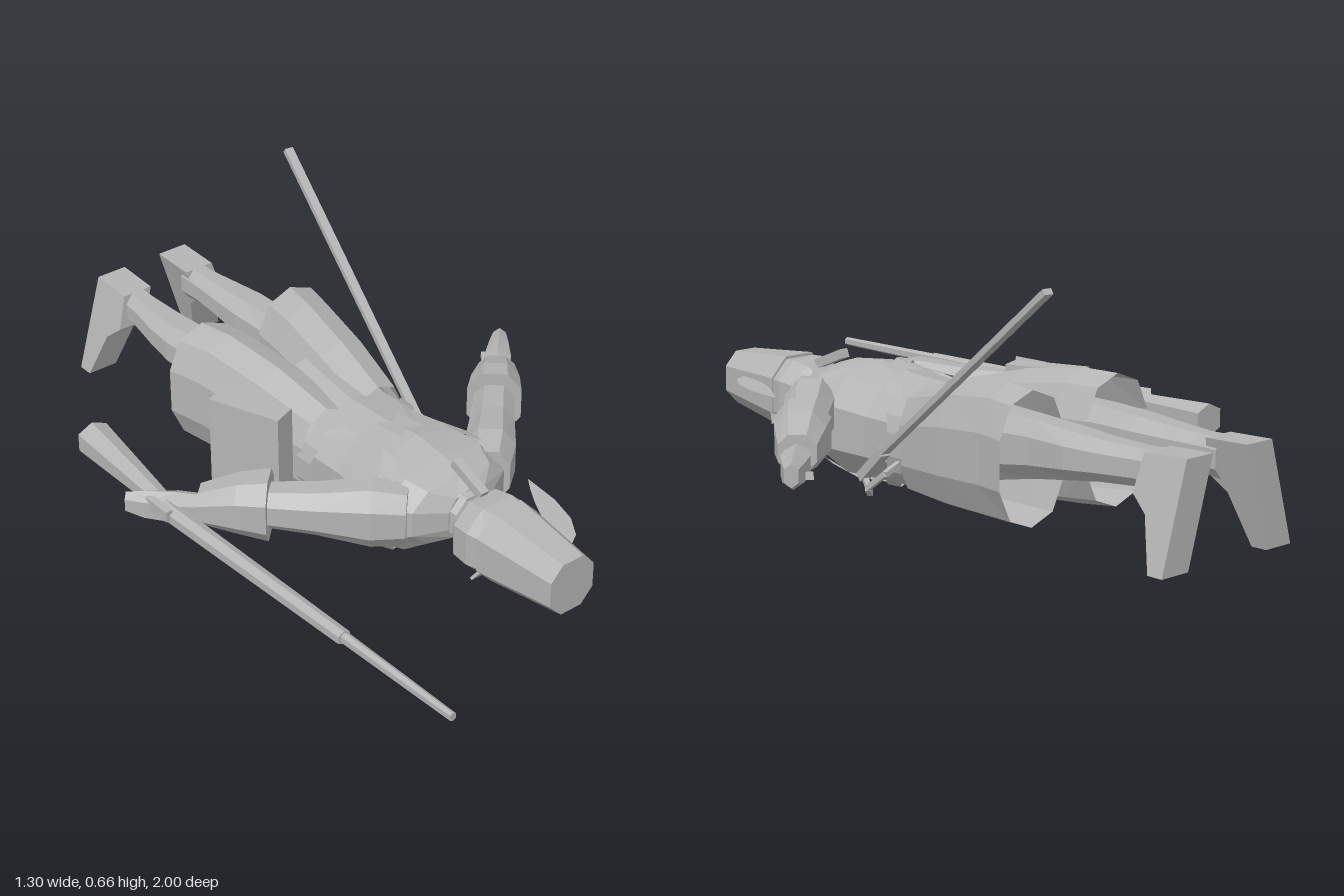
import * as THREE from 'three';

const grey = new THREE.MeshStandardMaterial({ color: 0xb4b4b4, flatShading: true, side: THREE.DoubleSide });
grey.name = 'plain grey';

const v = (a) => new THREE.Vector3(...a);

function mesh(name, geometry, parent) {
  const m = new THREE.Mesh(geometry, grey);
  m.name = name;
  parent.add(m);
  return m;
}

// Point on a rounded-box cross-section [x, y, z, rx, ry]
function ringPoint([x, y, z, rx, ry], a) {
  const soft = (t) => Math.sign(t) * Math.pow(Math.abs(t), 0.85);
  return [x + rx * soft(Math.cos(a)), y + ry * soft(Math.sin(a)), z];
}

// Skin cross-sections listed in order of rising z
function loft(sections, n = 8, caps = true) {
  const pos = [], idx = [];
  for (const s of sections)
    for (let i = 0; i < n; i++) pos.push(...ringPoint(s, ((i + 0.5) / n) * Math.PI * 2));
  for (let j = 0; j < sections.length - 1; j++)
    for (let i = 0; i < n; i++) {
      const a = j * n + i, b = j * n + ((i + 1) % n);
      idx.push(a, b, b + n, a, b + n, a + n);
    }
  if (caps) {
    const end = (sections.length - 1) * n;
    for (let i = 1; i < n - 1; i++) idx.push(0, i + 1, i, end, end + i, end + i + 1);
  }
  const g = new THREE.BufferGeometry();
  g.setAttribute('position', new THREE.Float32BufferAttribute(pos, 3));
  g.setIndex(idx);
  g.computeVertexNormals();
  return g;
}

// Box bar running between two points
function bar(name, a, b, w, h, parent) {
  const A = v(a), B = v(b);
  const m = mesh(name, new THREE.BoxGeometry(w, h, A.distanceTo(B)), parent);
  m.position.copy(A).lerp(B, 0.5);
  m.lookAt(B);
  return m;
}

const TORSO = [
  [0, 0.17, -0.24, 0.2, 0.155],
  [0, 0.155, -0.05, 0.172, 0.14],
  [0, 0.155, 0.1, 0.172, 0.147],
  [0, 0.163, 0.22, 0.19, 0.156],
  [0, 0.18, 0.32, 0.195, 0.13],
  [0, 0.195, 0.385, 0.16, 0.095],
  [0, 0.195, 0.43, 0.075, 0.07],
];

// Torso section at any z, slightly enlarged
function torsoAt(z, grow) {
  let i = 0;
  while (i < TORSO.length - 2 && TORSO[i + 1][2] < z) i++;
  const a = TORSO[i], b = TORSO[i + 1], t = (z - a[2]) / (b[2] - a[2]);
  const s = a.map((q, k) => q + (b[k] - q) * t);
  return [s[0], s[1], z, s[3] + grow, s[4] + grow];
}

// Diagonal belt wrapped around the torso
function crossBelt(side, parent) {
  const n = 20, pos = [], idx = [];
  for (let i = 0; i <= n; i++) {
    const a = ((i + 0.5) / n) * Math.PI * 2;
    const z = 0.15 + side * 0.18 * Math.cos(a);
    for (const d of [-0.028, 0.028]) pos.push(...ringPoint(torsoAt(z + d, 0.006), a));
    if (i < n) idx.push(2 * i, 2 * i + 2, 2 * i + 3, 2 * i, 2 * i + 3, 2 * i + 1);
  }
  const g = new THREE.BufferGeometry();
  g.setAttribute('position', new THREE.Float32BufferAttribute(pos, 3));
  g.setIndex(idx);
  g.computeVertexNormals();
  mesh('crossBelt', g, parent);
}

// Everything that exists on both sides, built for +x
function buildSide(name) {
  const g = new THREE.Group();
  g.name = name;

  mesh('coatSkirt', loft([
    [0.15, 0.2, -0.5, 0.115, 0.172],
    [0.132, 0.197, -0.4, 0.108, 0.177],
    [0.106, 0.18, -0.22, 0.106, 0.168],
    [0.085, 0.158, -0.04, 0.09, 0.142],
  ], 10, false), g);

  mesh('leg', loft([
    [0.105, 0.235, -0.9, 0.043, 0.055],
    [0.108, 0.237, -0.83, 0.046, 0.05],
    [0.115, 0.235, -0.72, 0.06, 0.055],
    [0.117, 0.232, -0.63, 0.068, 0.065],
    [0.115, 0.225, -0.5, 0.062, 0.08],
    [0.1, 0.2, -0.25, 0.08, 0.11],
  ]), g);

  // Boot with the toe turned outward
  const sole = new THREE.Shape([
    [-1, 0.29], [-0.87, 0.285], [-0.86, 0.19], [-0.91, 0.15], [-0.955, 0.02], [-1, 0.02],
  ].map((p) => new THREE.Vector2(...p)));
  const boot = new THREE.ExtrudeGeometry(sole, { depth: 0.09, bevelEnabled: false });
  boot.rotateY(-Math.PI / 2).translate(0.15, 0, 0);
  const p = boot.attributes.position;
  for (let i = 0; i < p.count; i++) p.setX(i, p.getX(i) + (0.29 - p.getY(i)) * 0.29);
  boot.computeVertexNormals();
  mesh('boot', boot, g);

  // Arm reaching out and down toward the hips
  const arm = new THREE.Group();
  arm.name = 'arm';
  arm.position.set(0.155, 0.2, 0.325);
  arm.rotation.y = Math.PI * 0.755;
  g.add(arm);
  mesh('sleeve', loft([
    [0, 0, -0.03, 0.06, 0.08],
    [0, 0, 0.06, 0.072, 0.092],
    [0, 0, 0.2, 0.063, 0.068],
    [0, 0, 0.36, 0.055, 0.055],
  ]), arm);
  mesh('cuff', loft([
    [0, 0, 0.32, 0.078, 0.095],
    [0, 0, 0.4, 0.07, 0.08],
    [0, -0.01, 0.5, 0.052, 0.05],
  ]), arm);
  mesh('hand', loft([
    [0, -0.02, 0.48, 0.034, 0.034],
    [0, -0.025, 0.56, 0.042, 0.044],
    [0, -0.025, 0.64, 0.03, 0.042],
    [0, -0.02, 0.69, 0.02, 0.03],
  ], 6), arm);
  bar('thumb', [0.03, -0.03, 0.55], [0.035, -0.06, 0.62], 0.02, 0.02, arm);
  return g;
}

export function createModel() {
  const model = new THREE.Group();
  model.name = 'lyingSoldier';

  mesh('torso', loft(TORSO, 10), model);
  crossBelt(1, model);
  crossBelt(-1, model);

  const left = buildSide('leftSide');
  const right = buildSide('rightSide');
  right.scale.x = -1;
  model.add(left, right);

  // Head, collar and hat
  mesh('collar', loft([[0, 0.195, 0.37, 0.085, 0.085], [0, 0.19, 0.45, 0.068, 0.07]]), model);
  mesh('head', loft([
    [0, 0.17, 0.43, 0.06, 0.07],
    [0, 0.175, 0.475, 0.1, 0.1],
    [0, 0.18, 0.53, 0.108, 0.105],
    [0, 0.18, 0.58, 0.095, 0.1],
  ]), model);
  mesh('hat', loft([[0, 0.18, 0.565, 0.104, 0.11], [-0.005, 0.187, 0.81, 0.075, 0.079]]), model);
  bar('nose', [0, 0.075, 0.53], [0, 0.06, 0.485], 0.03, 0.03, model);
  const visor = mesh('visor', new THREE.CylinderGeometry(0.105, 0.105, 0.008, 6, 1, false, Math.PI / 2, Math.PI), model);
  visor.position.set(0, 0.105, 0.555);
  visor.rotation.set(Math.PI / 2 + 0.6, 0, 0);
  visor.scale.z = 0.75;
  bar('hairQueue', [0, 0.27, 0.48], [0, 0.315, 0.37], 0.025, 0.025, model);

  // Curved plume hanging at the side of the hat
  const feather = new THREE.Shape();
  feather.moveTo(0.07, 0.72);
  feather.quadraticCurveTo(0.19, 0.68, 0.195, 0.43);
  feather.quadraticCurveTo(0.13, 0.52, 0.1, 0.6);
  const plume = mesh('plume', new THREE.ShapeGeometry(feather, 4).rotateX(Math.PI / 2), model);
  plume.position.y = 0.21;

  // Cartridge pouch on the right hip
  const pouch = mesh('pouch', new THREE.BoxGeometry(0.07, 0.295, 0.21), model);
  pouch.position.set(-0.248, 0.178, -0.155);
  pouch.rotation.y = 0.367;

  // Musket held in the right hand
  const musket = new THREE.Group();
  musket.name = 'musket';
  model.add(musket);
  mesh('stock', loft([
    [-0.538, 0.185, -0.465, 0.05, 0.045],
    [-0.565, 0.185, -0.14, 0.028, 0.025],
    [-0.578, 0.185, -0.05, 0.026, 0.022],
    [-0.56, 0.185, 0.62, 0.02, 0.018],
  ], 6), musket);
  mesh('barrel', loft([[-0.56, 0.185, 0.55, 0.014, 0.016], [-0.55, 0.185, 1, 0.01, 0.012]], 6), musket);
  bar('lock', [-0.6, 0.195, -0.12], [-0.6, 0.195, -0.03], 0.02, 0.03, musket);

  // Sword with a hoop guard on the left hip
  const sword = new THREE.Group();
  sword.name = 'sword';
  model.add(sword);
  bar('scabbard', [0.312, 0.66, -0.71], [0.222, 0.15, -0.04], 0.025, 0.016, sword);
  bar('grip', [0.222, 0.15, -0.04], [0.2, 0.06, 0.07], 0.026, 0.026, sword);
  const hoop = [[0.225, 0.13, -0.1], [0.272, 0.11, -0.1], [0.27, 0.06, -0.03], [0.235, 0.035, 0], [0.2, 0.06, 0.06]];
  for (let i = 0; i < hoop.length - 1; i++) bar('guard', hoop[i], hoop[i + 1], 0.014, 0.014, sword);

  return model;
}
